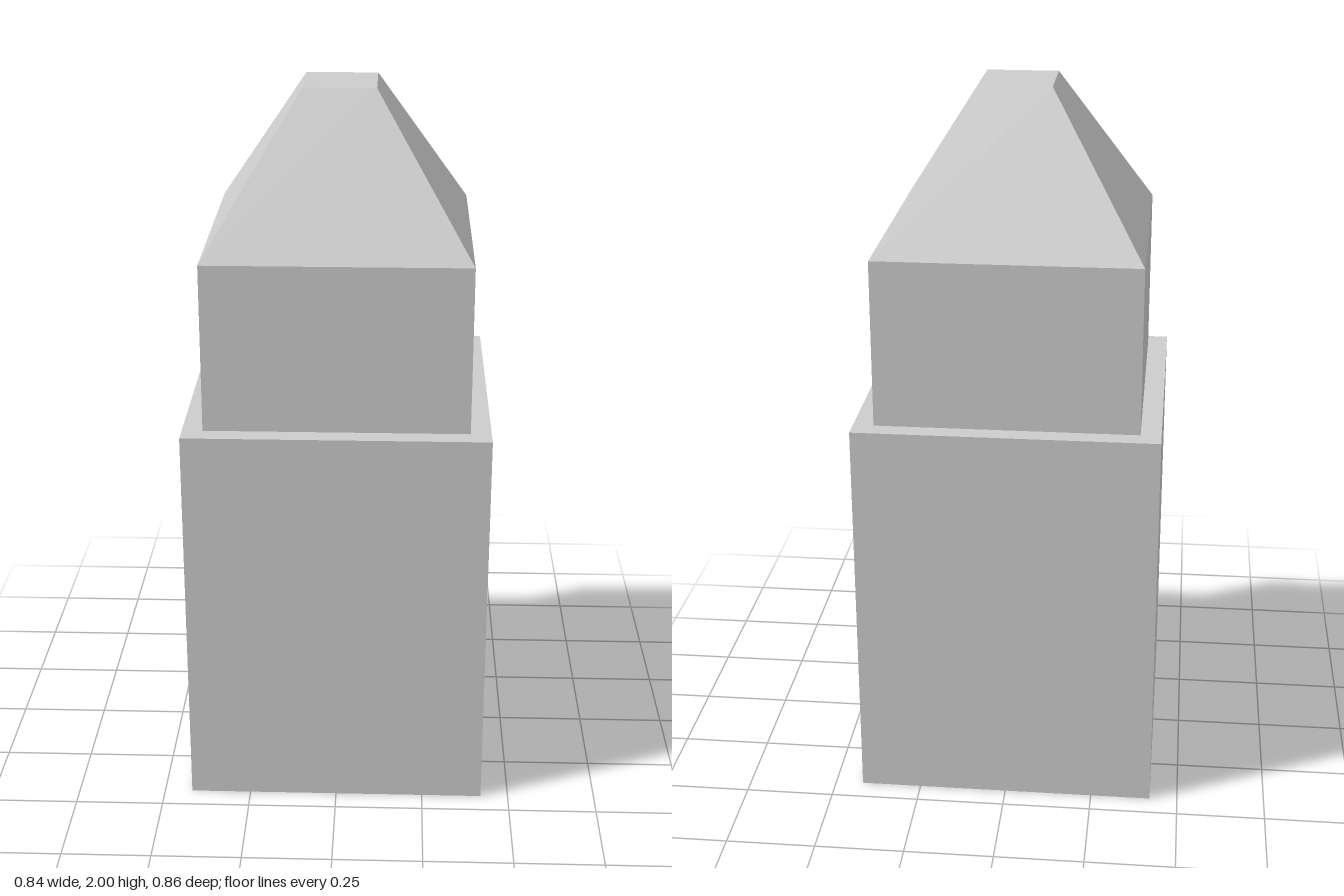
import * as THREE from 'three';

const material = new THREE.MeshStandardMaterial({ color: 0xcccccc, flatShading: true });

// Box from y0 to y1 whose top may be narrower than its bottom
function block(name, y0, y1, [w, d], [topW, topD] = [w, d]) {
  const geometry = new THREE.BoxGeometry(w, y1 - y0, d);
  geometry.translate(0, (y0 + y1) / 2, 0);
  const p = geometry.attributes.position;
  const middle = (y0 + y1) / 2;
  for (let i = 0; i < p.count; i++) {
    if (p.getY(i) > middle) {
      p.setX(i, Math.sign(p.getX(i)) * topW / 2);
      p.setZ(i, Math.sign(p.getZ(i)) * topD / 2);
    }
  }
  geometry.computeVertexNormals();
  const mesh = new THREE.Mesh(geometry, material);
  mesh.name = name;
  return mesh;
}

export function createModel() {
  const model = new THREE.Group();
  model.name = 'steppedTower';
  const body = [0.728, 0.752];
  model.add(
    block('base', 0, 1.117, [0.842, 0.864]),
    block('upperBody', 1.117, 1.584, body),
    block('taperedCap', 1.584, 2, body, [0.2, 0.222]),
  );
  return model;
}
